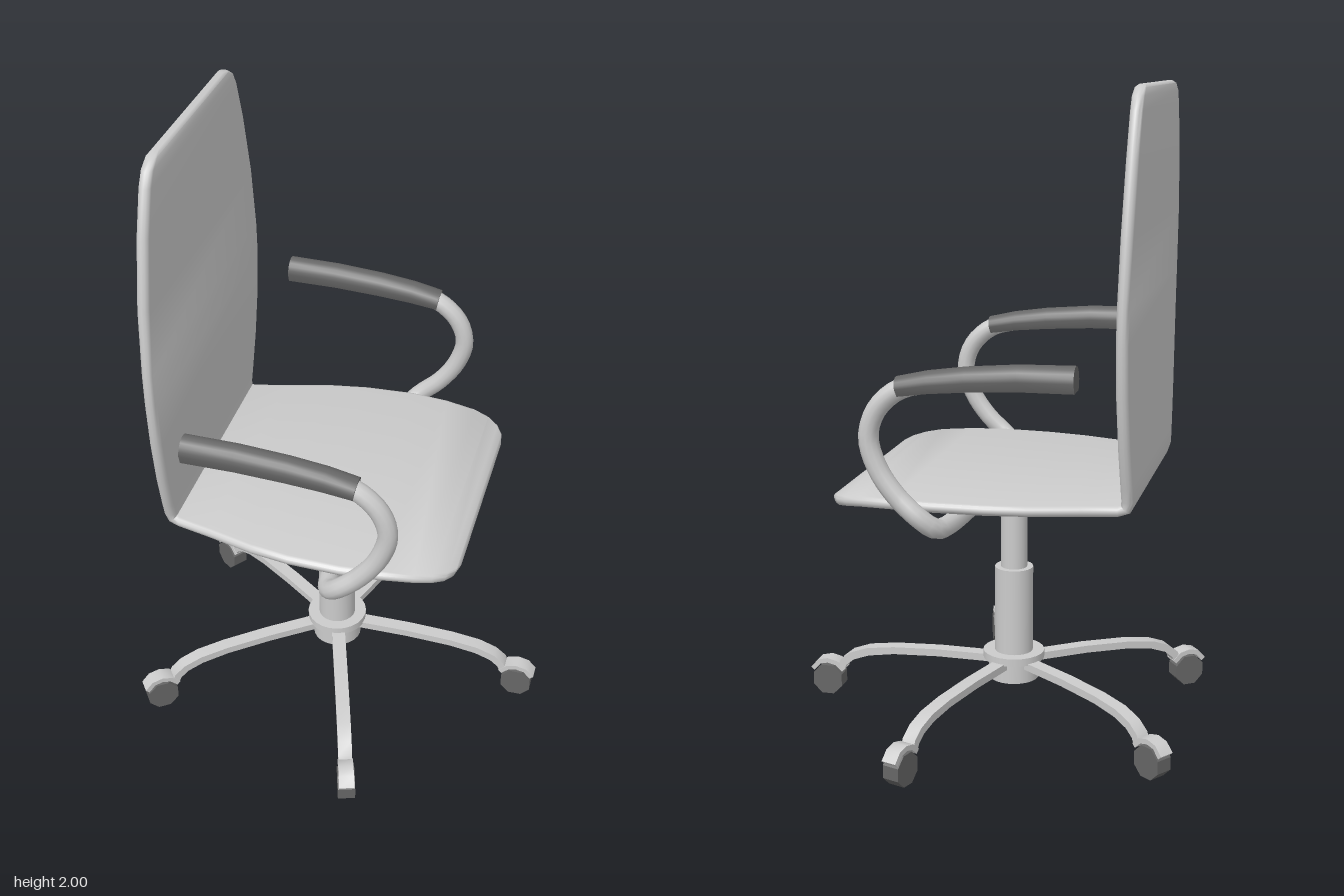
import * as THREE from 'three';
import { toCreasedNormals } from 'three/addons/utils/BufferGeometryUtils.js';

const grey = new THREE.MeshStandardMaterial({ color: 0xcccccc });
const dark = new THREE.MeshStandardMaterial({ color: 0x666666 });

// Sweep a section along stations [x, y, halfWidth, halfThickness] in the xy plane.
// section(w, t) returns [z, offset along the path normal] pairs.
function sweep(stations, section, crease = 0.9) {
  const pos = [], index = [];
  const last = stations.length - 1;
  let n = 0;
  stations.forEach(([x, y, w, t], i) => {
    const a = stations[Math.max(i - 1, 0)], b = stations[Math.min(i + 1, last)];
    const len = Math.hypot(b[0] - a[0], b[1] - a[1]);
    const nx = -(b[1] - a[1]) / len, ny = (b[0] - a[0]) / len;
    const ring = section(w, t);
    n = ring.length;
    for (const [z, o] of ring) pos.push(x + nx * o, y + ny * o, z);
  });
  for (let i = 0; i < last; i++) {
    for (let j = 0; j < n; j++) {
      const a = i * n + j, b = i * n + (j + 1) % n;
      index.push(a, a + n, b, b, a + n, b + n);
    }
  }
  for (let j = 1; j < n - 1; j++) {
    index.push(0, j, j + 1, last * n, last * n + j + 1, last * n + j);
  }
  const geo = new THREE.BufferGeometry();
  geo.setAttribute('position', new THREE.Float32BufferAttribute(pos, 3));
  geo.setIndex(index);
  return toCreasedNormals(geo, crease);
}

// Flat plate with rounded side edges
function plate(w, t) {
  const pts = [];
  for (let s = 0; s < 2; s++) {
    for (let k = 0; k <= 6; k++) {
      const a = -Math.PI / 2 + s * Math.PI + k * Math.PI / 6;
      pts.push([(s ? -1 : 1) * (w - t) + t * Math.cos(a), t * Math.sin(a)]);
    }
  }
  return pts;
}

const bar = (w, t) => [[w, -t], [w, t], [-w, t], [-w, -t]];

// Domed top, narrower flat underside
function padSection(w, t) {
  const pts = [];
  for (let k = 0; k <= 10; k++) {
    const a = k * Math.PI / 10;
    pts.push([w * Math.cos(a), t * (1.2 * Math.sin(a) - 0.2)]);
  }
  pts.push([-0.75 * w, -t], [0.75 * w, -t]);
  return pts;
}

function add(parent, name, geo, material = grey) {
  const mesh = new THREE.Mesh(geo, material);
  mesh.name = name;
  parent.add(mesh);
  return mesh;
}

export function createModel() {
  const chair = new THREE.Group();
  chair.name = 'officeChair';

  // Backrest and seat: one bent shell, from the top of the back to the front lip
  add(chair, 'seatShell', sweep([
    [-0.483, 2.0, 0.27, 0.009], [-0.483, 1.992, 0.31, 0.016], [-0.483, 1.97, 0.345, 0.018],
    [-0.483, 1.93, 0.37, 0.018], [-0.482, 1.8, 0.415, 0.018], [-0.479, 1.6, 0.46, 0.018],
    [-0.475, 1.4, 0.479, 0.018], [-0.474, 1.3, 0.479, 0.018], [-0.475, 1.15, 0.465, 0.018],
    [-0.478, 1.0, 0.437, 0.018], [-0.481, 0.88, 0.404, 0.018], [-0.482, 0.835, 0.39, 0.018],
    [-0.476, 0.812, 0.385, 0.018], [-0.455, 0.805, 0.388, 0.016], [-0.35, 0.805, 0.413, 0.016],
    [-0.2, 0.805, 0.453, 0.016], [-0.08, 0.805, 0.472, 0.016], [0.08, 0.805, 0.479, 0.016],
    [0.2, 0.803, 0.468, 0.016], [0.3, 0.798, 0.448, 0.016], [0.35, 0.791, 0.428, 0.016],
    [0.385, 0.783, 0.4, 0.016], [0.405, 0.776, 0.365, 0.015], [0.414, 0.772, 0.32, 0.008],
  ], plate));

  // Armrest tube: down one side, under the seat and up the other
  const side = [
    [-0.33, 1.205, 0.525], [-0.1, 1.2, 0.525], [0.06, 1.185, 0.525], [0.15, 1.16, 0.525],
    [0.215, 1.1, 0.525], [0.24, 1.02, 0.525], [0.215, 0.93, 0.525], [0.16, 0.85, 0.525],
    [0.09, 0.785, 0.522], [0.055, 0.752, 0.495], [0.04, 0.742, 0.44],
  ].map(p => new THREE.Vector3(...p));
  const mirrored = side.map(p => new THREE.Vector3(p.x, p.y, -p.z)).reverse();
  const path = new THREE.CatmullRomCurve3([...side, ...mirrored], false, 'centripetal');
  add(chair, 'armrestTube', new THREE.TubeGeometry(path, 120, 0.03, 12));

  // Arm pads
  const padGeo = sweep([
    [-0.36, 1.217, 0.04, 0.037], [-0.2, 1.214, 0.04, 0.036], [-0.05, 1.203, 0.04, 0.034],
    [0.06, 1.19, 0.04, 0.031], [0.15, 1.173, 0.039, 0.027],
  ], padSection);
  for (const [name, z] of [['leftArmPad', 0.525], ['rightArmPad', -0.525]]) {
    add(chair, name, padGeo, dark).position.z = z;
  }

  // Swivel base, centred on the column
  const base = new THREE.Group();
  base.name = 'base';
  base.position.x = -0.06;
  chair.add(base);

  const cylinder = (name, r, y0, y1) => {
    add(base, name, new THREE.CylinderGeometry(r, r, y1 - y0, 24)).position.y = (y0 + y1) / 2;
  };
  cylinder('gasLift', 0.042, 0.48, 0.8);
  cylinder('columnSleeve', 0.061, 0.2, 0.49);
  cylinder('hub', 0.08, 0.12, 0.2);
  cylinder('hubCollar', 0.098, 0.185, 0.21);

  // Five legs with casters
  const legGeo = sweep([
    [0.05, 0.178, 0.022, 0.012], [0.25, 0.178, 0.022, 0.012], [0.4, 0.171, 0.022, 0.012],
    [0.49, 0.158, 0.022, 0.013], [0.545, 0.138, 0.022, 0.013], [0.575, 0.113, 0.022, 0.013],
    [0.585, 0.09, 0.022, 0.012],
  ], bar);
  const guardGeo = sweep([
    [0.575, 0.085, 0.024, 0.008], [0.6, 0.108, 0.024, 0.008], [0.63, 0.115, 0.024, 0.008],
    [0.66, 0.108, 0.024, 0.008], [0.683, 0.082, 0.024, 0.008],
  ], bar);
  const wheelGeo = toCreasedNormals(
    new THREE.CylinderGeometry(0.053, 0.053, 0.054, 8).rotateY(Math.PI / 8).rotateX(Math.PI / 2), 0.3);
  for (let i = 0; i < 5; i++) {
    const leg = new THREE.Group();
    leg.name = `leg${i + 1}`;
    leg.rotation.y = i * Math.PI * 2 / 5;
    base.add(leg);
    add(leg, 'legBar', legGeo);
    add(leg, 'casterGuard', guardGeo);
    add(leg, 'casterWheel', wheelGeo, dark).position.set(0.63, 0.05, 0);
  }
  return chair;
}
